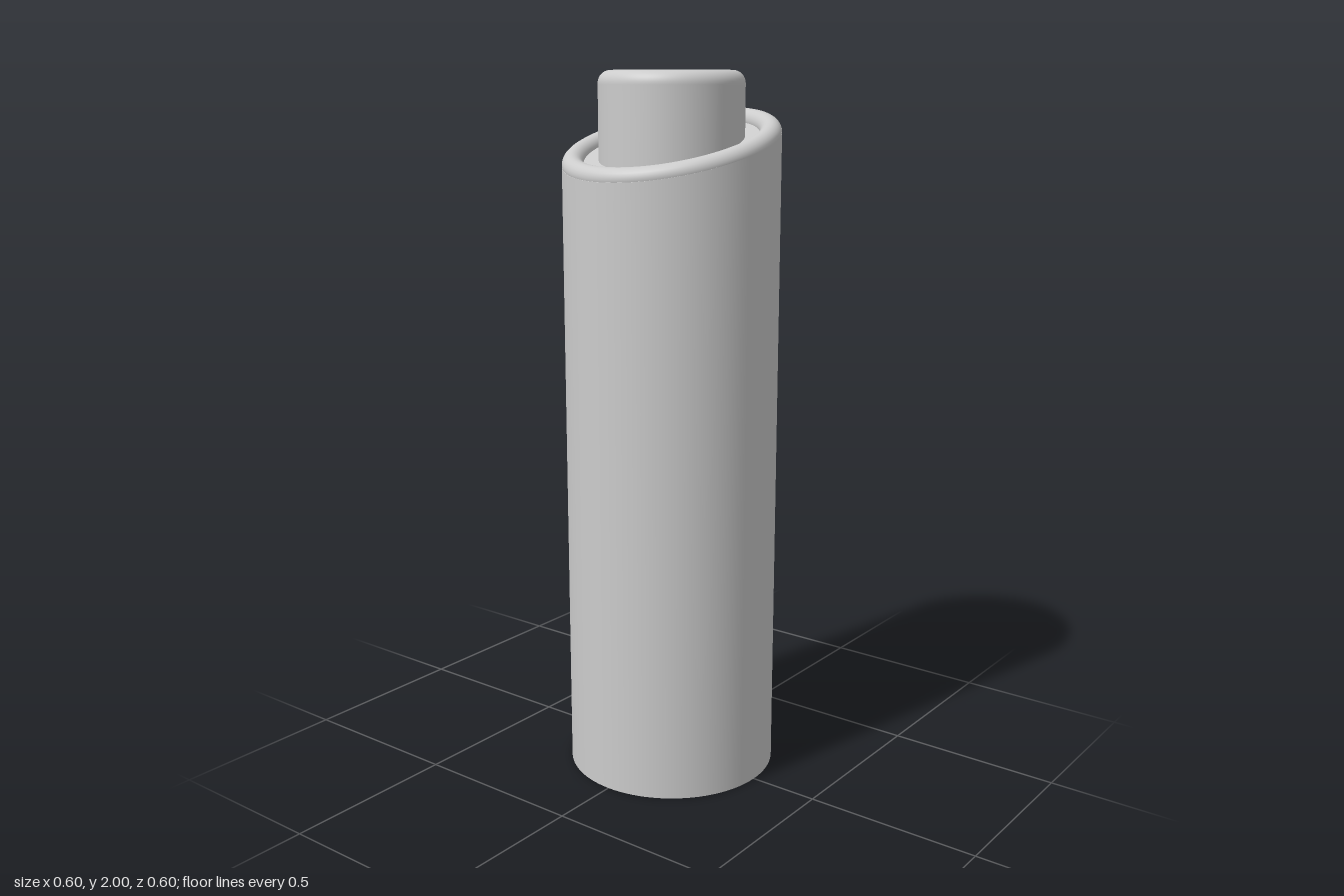
import * as THREE from 'three';

const SEGMENTS = 96;
const SLOPE = Math.tan(THREE.MathUtils.degToRad(15));
const RIM_HEIGHT = 1.797;
const slantY = (z) => RIM_HEIGHT - SLOPE * z;

// Closed path of the rim, lying on the slanted plane
class RimPath extends THREE.Curve {
  getPoint(t, target = new THREE.Vector3()) {
    const a = t * Math.PI * 2;
    const z = 0.27 * Math.sin(a);
    return target.set(0.27 * Math.cos(a), slantY(z), z);
  }
}

// Solid cylinder whose top is cut by the slanted plane
function slantedCylinder(radius) {
  const geometry = new THREE.CylinderGeometry(radius, radius, RIM_HEIGHT, SEGMENTS);
  geometry.translate(0, RIM_HEIGHT / 2, 0);
  const { position, normal } = geometry.attributes;
  const tilted = new THREE.Vector3(0, 1, SLOPE).normalize();
  for (let i = 0; i < position.count; i++) {
    if (position.getY(i) > 1) position.setY(i, slantY(position.getZ(i)));
    if (normal.getY(i) > 0.9) normal.setXYZ(i, tilted.x, tilted.y, tilted.z);
  }
  return geometry;
}

// Round plug with a filleted top edge
function filletedPlug(radius, bottom, top, fillet) {
  const points = [new THREE.Vector2(radius, bottom), new THREE.Vector2(radius, top - fillet - 0.003)];
  for (let i = 0; i <= 10; i++) {
    const a = (i / 10) * Math.PI / 2;
    points.push(new THREE.Vector2(
      radius - fillet + fillet * Math.cos(a),
      top - fillet + fillet * Math.sin(a)
    ));
  }
  points.push(new THREE.Vector2(radius - fillet - 0.003, top), new THREE.Vector2(0, top));
  return new THREE.LatheGeometry(points, SEGMENTS);
}

export function createModel() {
  const group = new THREE.Group();
  const material = new THREE.MeshStandardMaterial({ color: 0xcccccc });
  const add = (name, geometry) => {
    const mesh = new THREE.Mesh(geometry, material);
    mesh.name = name;
    group.add(mesh);
  };

  add('body', slantedCylinder(0.3));
  add('rim', new THREE.TubeGeometry(new RimPath(), 128, 0.03, 24, true));
  add('plug', filletedPlug(0.2, 1.6, 2, 0.035));

  return group;
}
